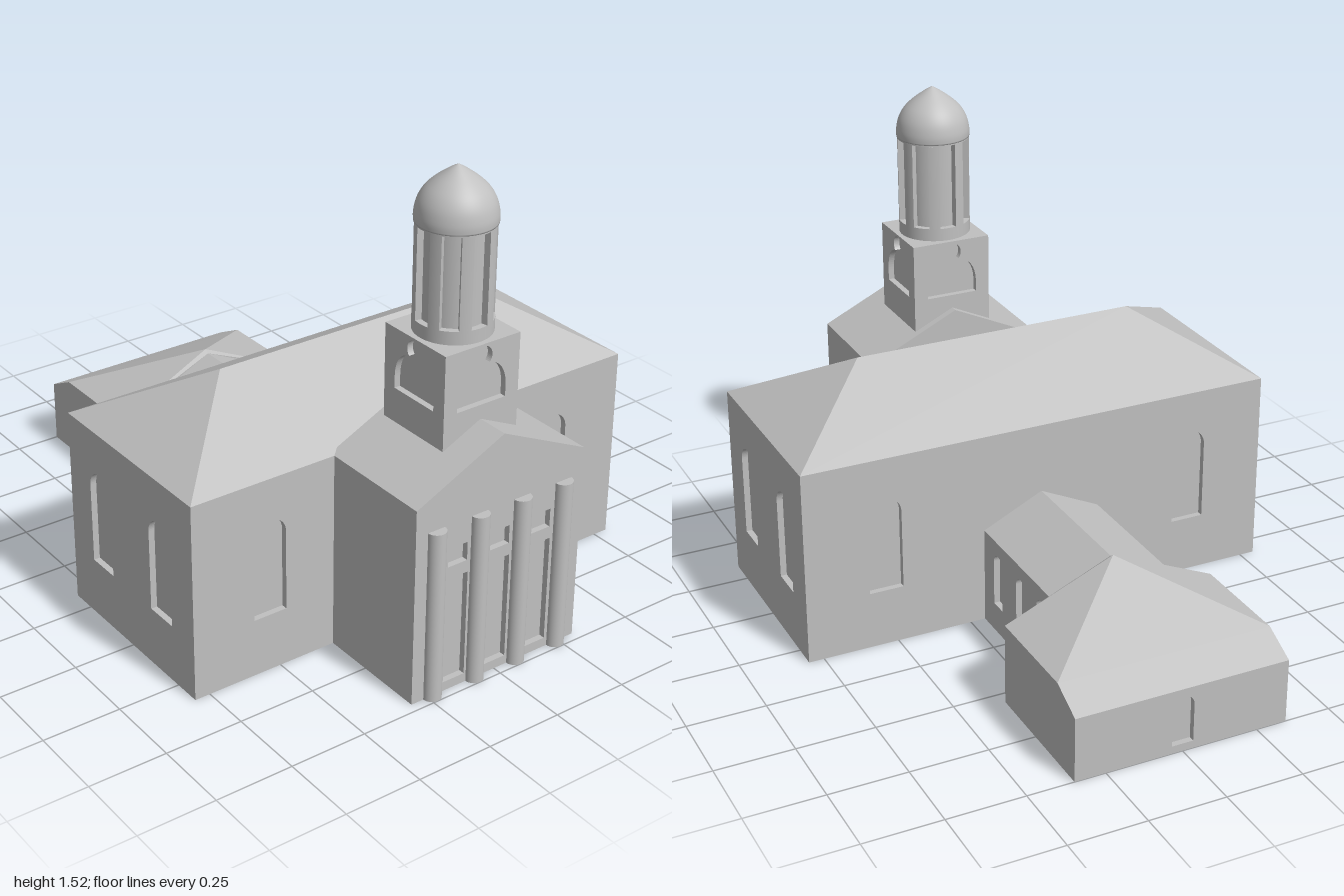
import * as THREE from 'three';
import { ConvexGeometry } from 'three/addons/geometries/ConvexGeometry.js';

const D = 0.02; // depth of the window and door recesses

export function createModel() {
  const root = new THREE.Group();
  const stone = new THREE.MeshStandardMaterial({ color: 0xc0c0c0 });
  stone.name = 'stone';

  const add = (name, geometry, x = 0, y = 0, z = 0, parent = root) => {
    const m = new THREE.Mesh(geometry, stone);
    m.name = name;
    m.position.set(x, y, z);
    parent.add(m);
    return m;
  };
  const box = (name, x0, x1, y0, y1, z0, z1) =>
    add(name, new THREE.BoxGeometry(x1 - x0, y1 - y0, z1 - z0), (x0 + x1) / 2, (y0 + y1) / 2, (z0 + z1) / 2);
  const hull = (name, pts) => add(name, new ConvexGeometry(pts.map(p => new THREE.Vector3(...p))));
  const poly = pts => new THREE.Shape(pts.map(p => new THREE.Vector2(...p)));
  const rect = (x, w, y0, y1) => poly([[x - w / 2, y0], [x + w / 2, y0], [x + w / 2, y1], [x - w / 2, y1]]);
  const extrude = (shape, depth) =>
    new THREE.ExtrudeGeometry(shape, { depth, bevelEnabled: false, curveSegments: 16 });

  // Round-headed window outline
  const arch = (x, w, y0, y1) => {
    const s = new THREE.Shape();
    s.moveTo(x - w / 2, y0);
    s.lineTo(x + w / 2, y0);
    s.lineTo(x + w / 2, y1 - w / 2);
    s.absarc(x, y1 - w / 2, w / 2, 0, Math.PI, false);
    s.closePath();
    return s;
  };

  // Pierced wall skin: local z = 0 is its back, turned to face outwards
  const skin = (name, shape, holes, x, z, turn) => {
    shape.holes = holes;
    add(name, extrude(shape, D), x, 0, z).rotation.y = turn;
  };
  const Q = Math.PI / 2;

  // Box with a pierced skin on all four sides; holes are listed as front, back, right, left
  const block = (name, hw, y0, y1, z0, z1, [front, back, plusX, minusX]) => {
    const zc = (z0 + z1) / 2, len = z1 - z0 - 2 * D;
    box(name + 'Core', -hw + D, hw - D, y0, y1, z0 + D, z1 - D);
    skin(name + 'FrontWall', rect(0, 2 * hw, y0, y1), front, 0, z1 - D, 0);
    skin(name + 'BackWall', rect(0, 2 * hw, y0, y1), back, 0, z0 + D, Math.PI);
    skin(name + 'LeftWall', rect(0, len, y0, y1), plusX, hw - D, zc, Q);
    skin(name + 'RightWall', rect(0, len, y0, y1), minusX, -hw + D, zc, -Q);
  };

  // Main hall with hipped roof
  const pair = x => [-x, x].map(u => arch(u, 0.113, 0.19, 0.51));
  block('hall', 0.8, 0, 0.645, -0.08, 0.59, [pair(0.535), pair(0.535), pair(0.163), pair(0.163)]);
  hull('hallRoof', [
    [-0.8, 0.645, -0.08], [0.8, 0.645, -0.08], [0.8, 0.645, 0.59], [-0.8, 0.645, 0.59],
    [-0.475, 0.835, 0.255], [0.475, 0.835, 0.255],
  ]);

  // Entrance portico: gabled body and a front with doors and small windows
  const gable = (w, eave, ridge, base = 0) =>
    poly([[-w, base], [w, base], [w, eave], [0, ridge], [-w, eave]]);
  add('porticoBody', extrude(gable(0.308, 0.645, 0.79), 0.38), 0, 0, 0.57);
  const openings = [-0.155, 0, 0.155].flatMap(x => [rect(x, 0.078, 0.03, 0.38), rect(x, 0.07, 0.42, 0.48)]);
  skin('porticoFront', gable(0.308, 0.645, 0.79), openings, 0, 0.95, 0);
  for (const x of [-0.235, -0.078, 0.078, 0.235])
    add('column', new THREE.CylinderGeometry(0.03, 0.03, 0.56, 32), x, 0.28, 0.97);

  // Tower base with an onion-shaped recess on each side
  const onion = () => {
    const s = new THREE.Shape();
    s.moveTo(-0.088, 0.835);
    s.lineTo(0.088, 0.835);
    s.lineTo(0.088, 0.87);
    s.bezierCurveTo(0.088, 0.92, 0.066, 0.955, 0.025, 0.963);
    s.absarc(0, 0.985, 0.034, -0.72, Math.PI + 0.72, false);
    s.bezierCurveTo(-0.066, 0.955, -0.088, 0.92, -0.088, 0.87);
    s.closePath();
    return [s];
  };
  block('towerBase', 0.135, 0.65, 1.025, 0.595, 0.865, [onion(), onion(), onion(), onion()]);

  // Round belfry with eight tall slots, and a pointed dome
  const TZ = 0.73, R = 0.118;
  const ring = (name, r, y0, y1) =>
    add(name, new THREE.CylinderGeometry(r, r, y1 - y0, 64), 0, (y0 + y1) / 2, TZ);
  ring('belfryFoot', R, 1.025, 1.067);
  ring('belfryCore', R - D, 1.067, 1.35);
  ring('belfryTop', R, 1.35, 1.36);
  const half = Math.PI / 8 - Math.asin(0.028 / R);
  for (let i = 0; i < 8; i++) {
    const s = new THREE.Shape();
    s.absarc(0, 0, R, -half, half, false);
    s.absarc(0, 0, R - D - 0.01, half, -half, true);
    s.closePath();
    const g = extrude(s, 0.283);
    g.rotateX(-Q);
    g.rotateY((i + 0.5) * Math.PI / 4);
    add('belfryPier', g, 0, 1.067, TZ);
  }
  const domeCurve = new THREE.SplineCurve([
    [0.12, 1.355], [0.12, 1.38], [0.112, 1.415], [0.095, 1.446], [0.07, 1.472],
    [0.04, 1.495], [0.018, 1.51], [0, 1.52],
  ].map(p => new THREE.Vector2(...p)));
  const profile = domeCurve.getPoints(28).map(p => new THREE.Vector2(Math.max(0, p.x), p.y));
  add('dome', new THREE.LatheGeometry([new THREE.Vector2(0, 1.355), ...profile], 64), 0, 0, TZ);

  // Connecting wing with side windows and gabled roof
  const wingZ = [-0.18, -0.34, -0.48], wc = -0.3125;
  const wingWindows = sign =>
    wingZ.map(z => arch(sign * (z - wc), 0.06, 0.095, 0.275));
  block('wing', 0.2, 0, 0.32, -0.545, -0.08, [[], [], wingWindows(-1), wingWindows(1)]);
  add('wingRoof', extrude(gable(0.2, 0.32, 0.415, 0.318), 0.48), 0, 0, -0.55);

  // Rear block with a hipped roof that falls lower at the back
  block('rearBlock', 0.35, 0, 0.205, -1, -0.545, [[], [arch(0, 0.07, 0.025, 0.185)], [], []]);
  hull('rearRoof', [
    ...[-0.35, 0.35].flatMap(x => [
      [x, 0.205, -1], [x, 0.205, -0.545], [x, 0.21, -1], [x, 0.265, -0.89], [x, 0.265, -0.545],
    ]),
    [0, 0.425, -0.56], [0, 0.415, -0.545],
  ]);

  return root;
}
